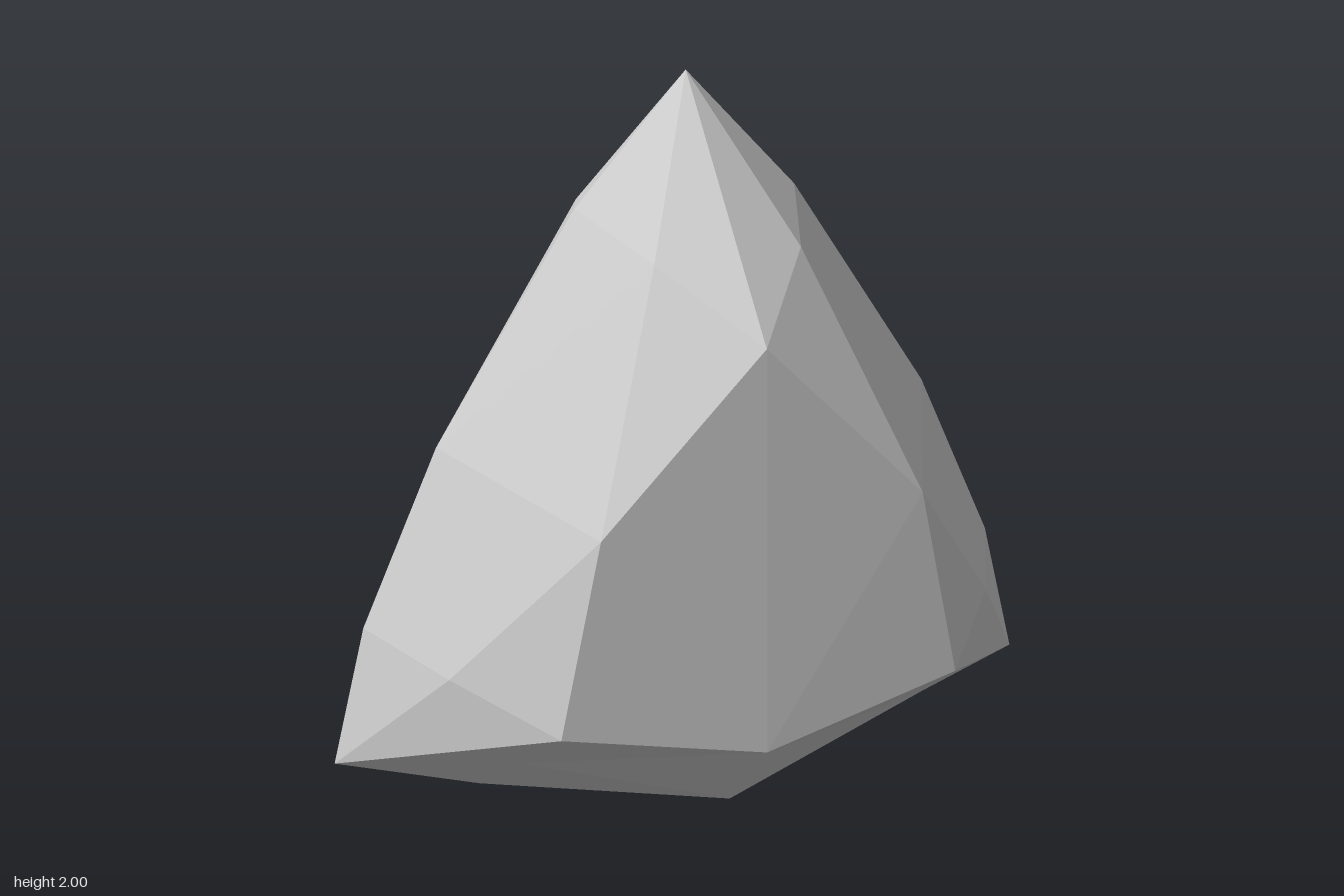
import * as THREE from 'three';

// Corners of one quarter of the stone; the rest is mirrored in x and z.
const corners = {
  apex: [0, 2, 0],
  crownTop: [0, 1.44, 0.54],
  shoulder: [0.195, 1.6, 0.29],
  tableSide: [0.43, 1.0, 0.54],
  tableLow: [0.54, 0.48, 0.54],
  tableFoot: [0, 0.36, 0.57],
  rimHigh: [0.3, 1.67, 0],
  rimMid: [0.68, 1.08, 0],
  rimLow: [0.89, 0.61, 0],
  tip: [0.983, 0.235, 0],
  tipUpper: [0.75, 0.57, 0.29],
  tipLower: [0.57, 0.3, 0.29],
  keelSide: [0.59, 0.1, 0],
  keelFront: [0, 0.1, 0.32],
  base: [0, 0, 0],
};

// Flat facets of the quarter, as corner names.
const facets = [
  // table
  'crownTop tableFoot tableSide', 'tableSide tableFoot tableLow',
  // top kite and its neighbours
  'apex crownTop shoulder', 'apex shoulder rimHigh', 'crownTop tableSide shoulder',
  // long side
  'shoulder rimMid rimHigh', 'shoulder tableSide rimMid',
  'tableSide tipUpper rimMid', 'tipUpper rimLow rimMid', 'tableSide tableLow tipUpper',
  // side kite
  'tip rimLow tipUpper', 'tip tipUpper tableLow', 'tip tableLow tipLower',
  // underside
  'tableLow tableFoot tipLower', 'tableFoot keelFront tipLower',
  'tipLower keelFront keelSide', 'tip tipLower keelSide', 'keelFront base keelSide',
].map((names) => names.split(' '));

export function createModel() {
  const centre = new THREE.Vector3(0, 0.8, 0);
  const positions = [];
  for (const sx of [1, -1]) {
    for (const sz of [1, -1]) {
      const mirror = new THREE.Vector3(sx, 1, sz);
      for (const facet of facets) {
        const pts = facet.map((n) => new THREE.Vector3(...corners[n]).multiply(mirror));
        // turn every facet outwards
        const normal = new THREE.Triangle(...pts).getNormal(new THREE.Vector3());
        if (normal.dot(pts[0].clone().sub(centre)) < 0) pts.reverse();
        pts.forEach((p) => positions.push(p.x, p.y, p.z));
      }
    }
  }
  const geometry = new THREE.BufferGeometry();
  geometry.setAttribute('position', new THREE.Float32BufferAttribute(positions, 3));
  geometry.computeVertexNormals();

  const gem = new THREE.Mesh(
    geometry,
    new THREE.MeshStandardMaterial({ color: 0xcccccc, flatShading: true }),
  );
  gem.name = 'facetedGem';
  const group = new THREE.Group();
  group.name = 'gemstone';
  group.add(gem);
  return group;
}
